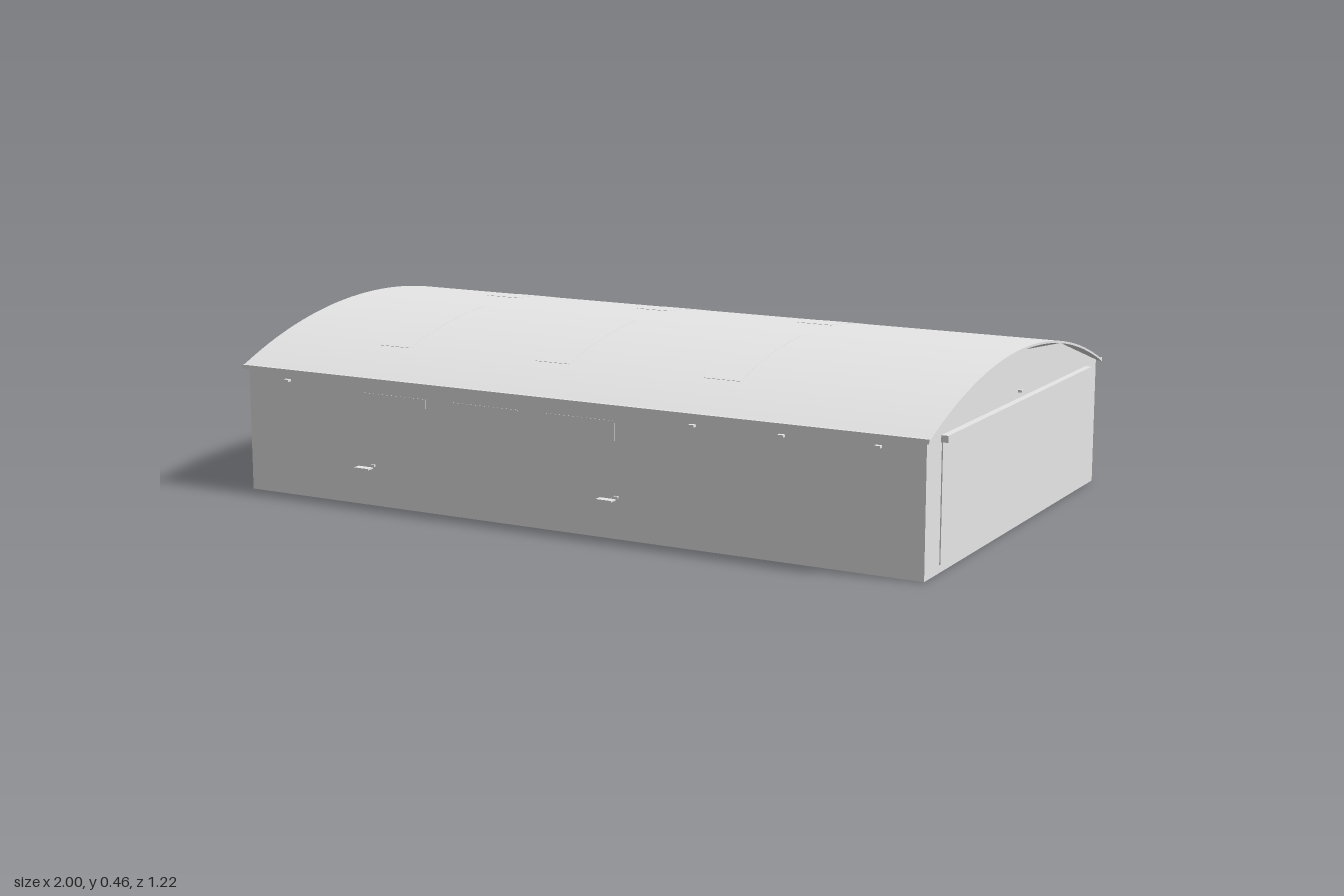
import * as THREE from 'three';
import { toCreasedNormals } from 'three/addons/utils/BufferGeometryUtils.js';

const HALF_X = 0.98, HALF_Z = 0.59, EAVE = 0.338;
const ROOF_X = 0.992, ROOF_Z = 0.606, ROOF_R = 1.527, ROOF_TOP = 0.463;

// height of the roof's outer surface at depth z
const roofY = (z) => ROOF_TOP - ROOF_R + Math.sqrt(ROOF_R * ROOF_R - z * z);

// curved slab following the roof between two depths, extruded along x
function roofSlab(z0, z1, bottom, top, width, segments) {
  const upper = [], lower = [];
  for (let i = 0; i <= segments; i++) {
    const z = z0 + ((z1 - z0) * i) / segments;
    upper.push(new THREE.Vector2(-z, roofY(z) + top));
    lower.unshift(new THREE.Vector2(-z, roofY(z) + bottom));
  }
  const geo = new THREE.ExtrudeGeometry(new THREE.Shape([...upper, ...lower]), { depth: width, bevelEnabled: false });
  geo.translate(0, 0, -width / 2);
  geo.rotateY(Math.PI / 2);
  return toCreasedNormals(geo, 0.5);
}

export function createModel() {
  const model = new THREE.Group();
  model.name = 'hall';
  // the shell is open underneath, so both sides show
  const grey = new THREE.MeshStandardMaterial({ color: 0xe7e7e7, side: THREE.DoubleSide });
  grey.name = 'lightGrey';

  // the building sits a touch off centre because of its door rail and ledges
  const add = (name, geo, x = 0, y = 0, z = 0) => {
    const mesh = new THREE.Mesh(geo, grey);
    mesh.name = name;
    mesh.position.set(x + 0.002, y, z - 0.003);
    model.add(mesh);
    return mesh;
  };
  const box = (name, w, h, d, x, y, z) => add(name, new THREE.BoxGeometry(w, h, d), x, y, z);

  // thin long walls and polygonal gables
  const gable = new THREE.Shape([
    [-HALF_Z, 0], [HALF_Z, 0], [HALF_Z, EAVE], [0.3, 0.428], [0, 0.455], [-0.3, 0.428], [-HALF_Z, EAVE],
  ].map(([x, y]) => new THREE.Vector2(x, y)));
  for (const s of [1, -1]) {
    const wall = add(s > 0 ? 'frontWall' : 'backWall', new THREE.PlaneGeometry(2 * HALF_X, EAVE), 0, EAVE / 2, s * HALF_Z);
    const end = add(s > 0 ? 'leftGable' : 'rightGable', new THREE.ShapeGeometry(gable), s * HALF_X, 0, 0);
    if (s < 0) wall.rotation.y = Math.PI;
    end.rotation.y = (s * Math.PI) / 2;
    // low plinth lining the inside of the walls
    box('longPlinth', 2 * HALF_X - 0.004, 0.06, 0.002, 0, 0.031, s * (HALF_Z - 0.003));
    box('gablePlinth', 0.002, 0.06, 2 * HALF_Z - 0.004, s * (HALF_X - 0.003), 0.031, 0);
  }

  // arched roof with eave trims
  add('roof', roofSlab(-ROOF_Z, ROOF_Z, -0.006, 0, 2 * ROOF_X, 32));
  for (const s of [1, -1]) box('eaveTrim', 2 * ROOF_X, 0.01, 0.008, 0, 0.338, s * 0.602);

  // three pairs of flush skylights
  for (const x of [-0.61, -0.12, 0.37]) {
    for (const [z0, z1] of [[0.09, 0.44], [-0.44, -0.09]]) {
      add('skylight', roofSlab(z0, z1, -0.002, 0.0007, 0.1, 8), x);
    }
  }

  // sliding door and rail on the gable
  box('gableDoor', 0.004, 0.3, 1.0, HALF_X + 0.001, 0.17, 0);
  box('doorRail', 0.018, 0.017, 1.01, 0.989, 0.325, 0);
  box('gableLamp', 0.012, 0.006, 0.01, 0.985, 0.352, 0);

  // large door on the back
  box('backDoor', 0.49, 0.295, 0.006, -0.49, 0.168, -HALF_Z - 0.001);

  // flush window bands on the long walls
  for (const [s, xs] of [[1, [-0.51, -0.23, 0.05]], [-1, [0.61, 0.4, 0.19]]]) {
    for (const x of xs) box('window', 0.2, 0.05, 0.002, x, 0.275, s * HALF_Z);
  }

  // small lamps under the eaves
  for (const x of [-0.85, 0.37, 0.61, 0.86]) box('frontLamp', 0.016, 0.006, 0.012, x, 0.311, HALF_Z + 0.006);
  for (const x of [0.85, 0.11, -0.14, -0.38, -0.62, -0.87]) box('backLamp', 0.016, 0.006, 0.012, x, 0.311, -HALF_Z - 0.006);

  // small ledges with handles beside the entrances
  for (const x of [-0.605, 0.13]) {
    box('frontLedge', 0.045, 0.004, 0.022, x, 0.1, HALF_Z + 0.011);
    box('frontHandle', 0.012, 0.005, 0.006, x + 0.025, 0.108, HALF_Z + 0.003);
  }
  box('rightLedge', 0.022, 0.004, 0.045, -0.991, 0.1, -0.002);
  box('rightHandle', 0.006, 0.005, 0.012, -0.983, 0.108, 0.023);

  return model;
}
